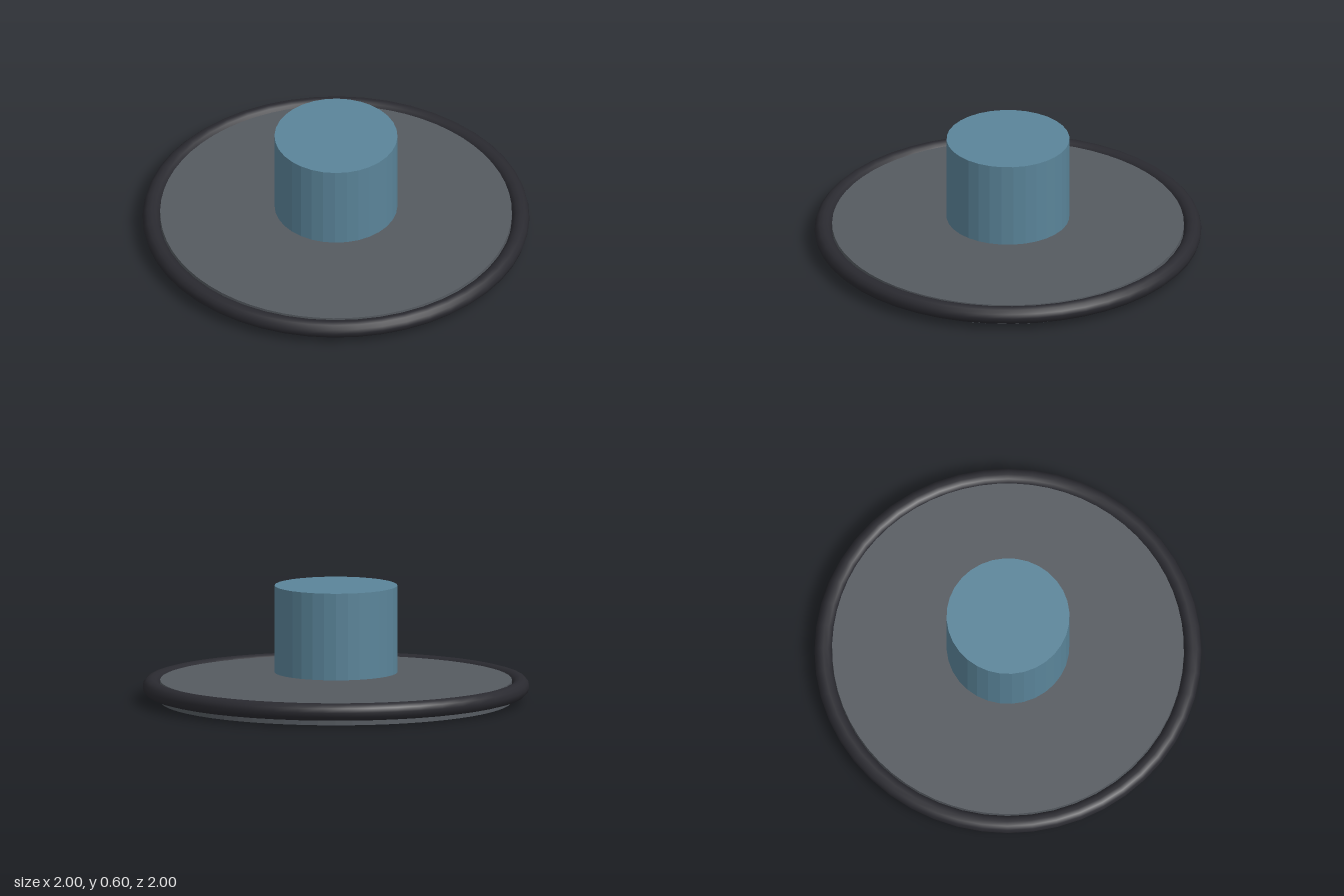
import * as THREE from 'three';

export function createModel() {
  const model = new THREE.Group();

  const add = (name, geometry, color, y, flatShading) => {
    const material = new THREE.MeshStandardMaterial({ color, flatShading });
    const mesh = new THREE.Mesh(geometry, material);
    mesh.name = name;
    mesh.position.y = y;
    model.add(mesh);
    return mesh;
  };

  // Flat round plate standing on the ground
  add('plate', new THREE.CylinderGeometry(0.909, 0.909, 0.11, 64), 0x555a60, 0.055, true);

  // Rounded ring around the plate's edge
  const ring = new THREE.TorusGeometry(0.9545, 0.0455, 12, 48).rotateX(-Math.PI / 2);
  add('rim', ring, 0x2a2a30, 0.076, false);

  // Drum floating just above the plate
  add('drum', new THREE.CylinderGeometry(0.318, 0.318, 0.452, 32), 0x5a8499, 0.377, true);

  return model;
}
